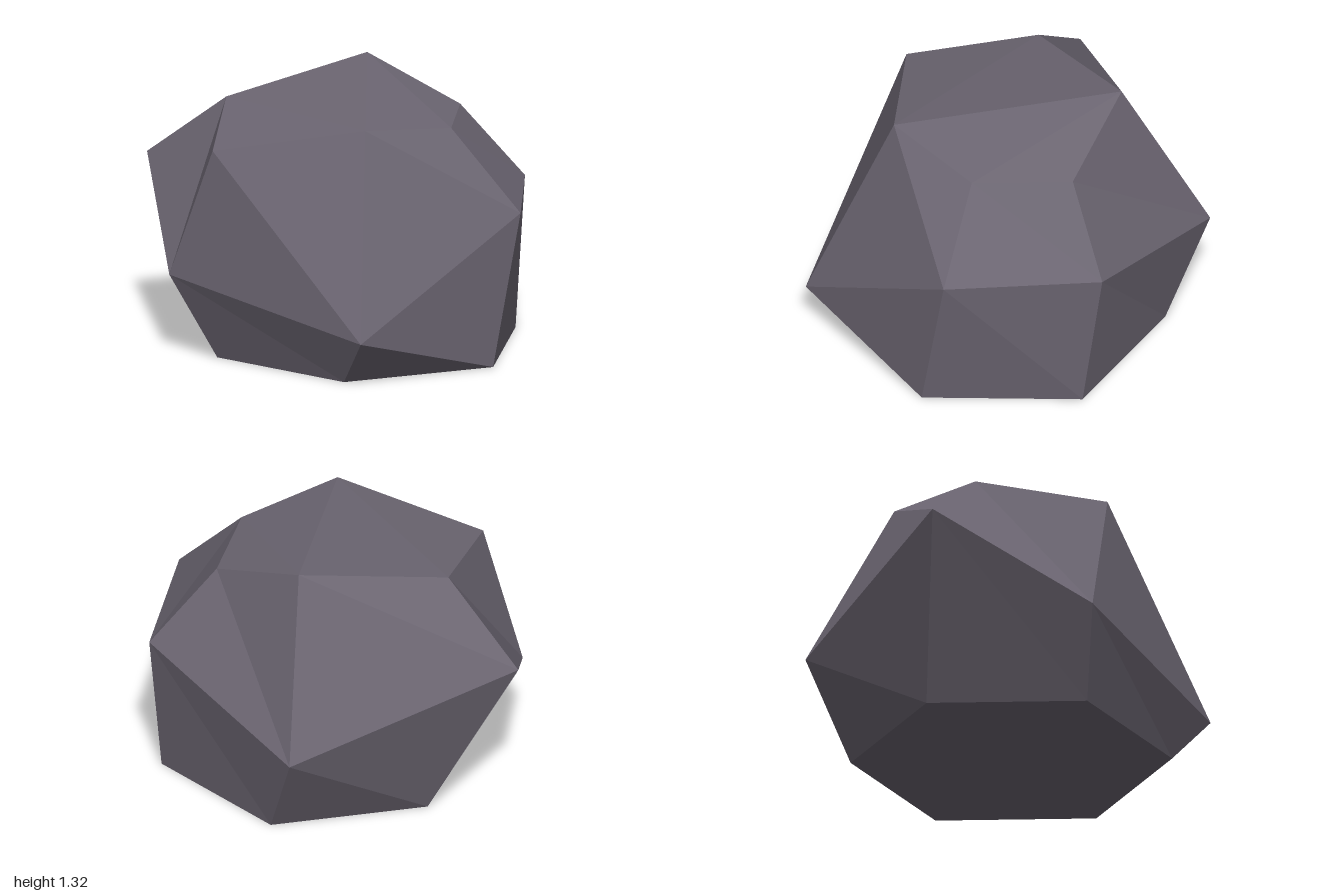
import * as THREE from 'three';

// Faceted boulder: three six-sided rings, joined by bands and closed by caps.
export function createModel() {
  const group = new THREE.Group();
  group.name = 'boulder';

  const stone = new THREE.MeshStandardMaterial({ color: 0x6b6571, flatShading: true });
  stone.name = 'grey stone';

  // Regular hexagon on the ground, starting at the front and turning toward +x
  const base = Array.from({ length: 6 }, (_, i) => {
    const a = (i * Math.PI) / 3;
    return [0.02 + 0.79 * Math.sin(a), 0, 0.16 + 0.79 * Math.cos(a)];
  });
  // Wide irregular waist
  const waist = [
    [0.175, 0.757, 1.0], [0.805, 0.748, 0.535], [0.81, 0.485, -0.485],
    [-0.245, 0.84, -1.0], [-0.81, 0.42, -0.42], [-0.77, 0.24, 0.742],
  ];
  // Small irregular crown
  const crown = [
    [0.108, 1.142, 0.62], [0.525, 1.138, 0.35], [0.478, 1.323, -0.193],
    [-0.205, 1.182, -0.537], [-0.755, 1.072, -0.193], [-0.415, 1.213, 0.492],
  ];

  const addMesh = (name, triangles) => {
    const geometry = new THREE.BufferGeometry();
    geometry.setAttribute('position', new THREE.Float32BufferAttribute(triangles.flat(2), 3));
    geometry.computeVertexNormals();
    const mesh = new THREE.Mesh(geometry, stone);
    mesh.name = name;
    group.add(mesh);
  };

  const band = (low, high) => low.flatMap((p, i) => {
    const j = (i + 1) % low.length;
    return [[p, low[j], high[i]], [low[j], high[j], high[i]]];
  });
  const cap = (ring, faces) => faces.map((f) => f.map((i) => ring[i]));

  addMesh('lowerSides', band(base, waist));
  addMesh('upperSides', band(waist, crown));
  addMesh('topFacets', cap(crown, [[0, 1, 2], [0, 2, 5], [2, 3, 5], [3, 4, 5]]));
  addMesh('underside', cap(base, [[0, 2, 1], [0, 3, 2], [0, 4, 3], [0, 5, 4]]));

  return group;
}
